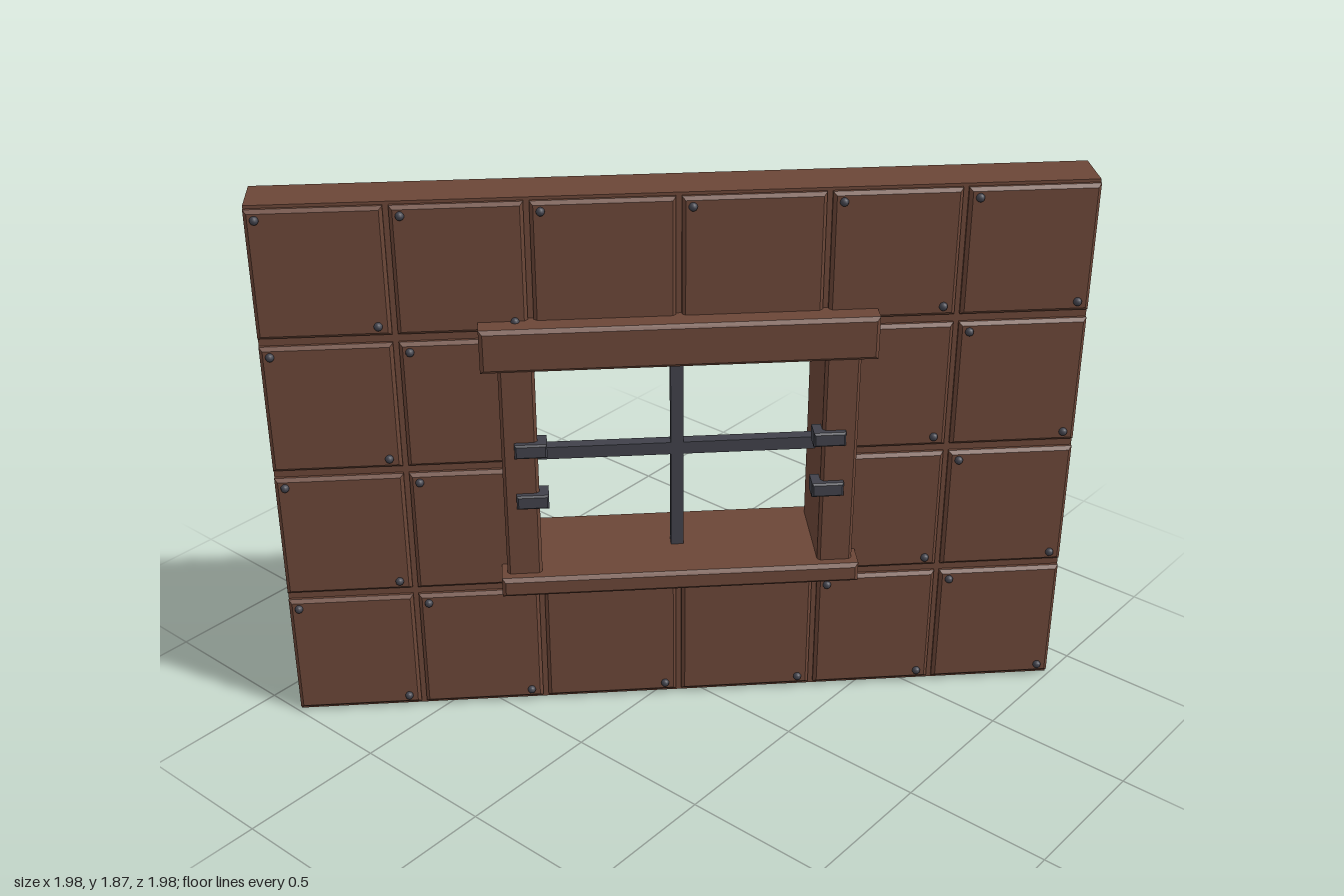
import * as THREE from 'three';

const brown = new THREE.MeshStandardMaterial({ color: 0x6b4637 });
brown.name = 'brown wood';
const metal = new THREE.MeshStandardMaterial({ color: 0x40414a });
metal.name = 'dark metal';

// Box with chamfered front and back edges, centred on the origin
function slab(w, h, d, b) {
  const x = w / 2 - b, y = h / 2 - b;
  const shape = new THREE.Shape([
    new THREE.Vector2(-x, -y), new THREE.Vector2(x, -y),
    new THREE.Vector2(x, y), new THREE.Vector2(-x, y),
  ]);
  const g = new THREE.ExtrudeGeometry(shape, {
    depth: d - 2 * b, bevelEnabled: true, bevelThickness: b, bevelSize: b, bevelSegments: 1,
  });
  return g.translate(0, 0, b - d / 2);
}

export function createModel() {
  const model = new THREE.Group();
  model.name = 'windowWall';
  const wall = new THREE.Group();
  wall.name = 'wall';
  wall.rotation.y = -Math.PI / 4; // the wall stands diagonally
  model.add(wall);

  const add = (name, geometry, material, x, y, z) => {
    const mesh = new THREE.Mesh(geometry, material);
    mesh.name = name;
    mesh.position.set(x, y, z);
    wall.add(mesh);
    return mesh;
  };
  // Part given by its ranges in x, y and z; chamfered when bevel > 0
  const block = (name, material, [x0, x1], [y0, y1], [z0, z1], bevel = 0) => {
    const w = x1 - x0, h = y1 - y0, d = z1 - z0;
    const g = bevel ? slab(w, h, d, bevel) : new THREE.BoxGeometry(w, h, d);
    return add(name, g, material, (x0 + x1) / 2, (y0 + y1) / 2, (z0 + z1) / 2);
  };

  const END = 1.312, OPEN = 0.465, TOP = 1.865, CORE = 0.08, FACE = 0.1;

  // Core around the window opening
  block('coreLeft', brown, [OPEN, END], [0, TOP], [-CORE, CORE]);
  block('coreRight', brown, [-END, -OPEN], [0, TOP], [-CORE, CORE]);
  block('coreBottom', brown, [-OPEN, OPEN], [0, 0.53], [-CORE, CORE]);
  block('coreTop', brown, [-OPEN, OPEN], [1.35, TOP], [-CORE, CORE]);

  // Panels on both faces, with bolts on the front only
  const columns = [-END, -0.888, -OPEN, 0, OPEN, 0.888, END];
  const rows = [[0.012, 0.455], [0.483, 0.925], [0.953, 1.397], [1.425, 1.855]];
  const boltGeometry = new THREE.SphereGeometry(0.014, 10, 8);
  const gap = 0.009;
  rows.forEach(([low, high], r) => {
    for (let c = 0; c < 6; c++) {
      const middle = c === 2 || c === 3;
      if (middle && (r === 1 || r === 2)) continue;
      const x0 = columns[c] + (c === 0 ? 0 : gap);
      const x1 = columns[c + 1] - (c === 5 ? 0 : gap);
      const y0 = middle && r === 3 ? 1.37 : low;
      const y1 = middle && r === 0 ? 0.53 : high;
      block('frontPanel', brown, [x0, x1], [y0, y1], [0.06, FACE], 0.011);
      block('backPanel', brown, [x0, x1], [y0, y1], [-FACE, -0.06], 0.011);
      add('bolt', boltGeometry, metal, x0 + 0.033, y1 - 0.03, 0.104);
      add('bolt', boltGeometry, metal, x1 - 0.04, y0 + 0.035, 0.104);
    }
  });

  // Window frame
  block('lintel', brown, [-0.63, 0.63], [1.312, 1.46], [-0.172, 0.172], 0.012);
  block('sill', brown, [-0.595, 0.595], [0.495, 0.565], [-0.2, 0.2], 0.012);
  for (const s of [-1, 1]) {
    add('framePost', slab(0.116, 0.8, 0.324, 0.01), brown, s * 0.518, 0.94, 0);
    // Hinges on the front inner corners of the posts
    for (const y of [0.847, 1.035]) {
      add('hinge', slab(0.105, 0.05, 0.075, 0.006), metal, s * 0.482, y, 0.146);
    }
  }

  // Crossed window bars
  block('verticalBar', metal, [-0.021, 0.021], [0.55, 1.33], [-0.021, 0.021]);
  block('horizontalBar', metal, [-0.48, 0.48], [0.916, 0.96], [-0.02, 0.02]);

  return model;
}
